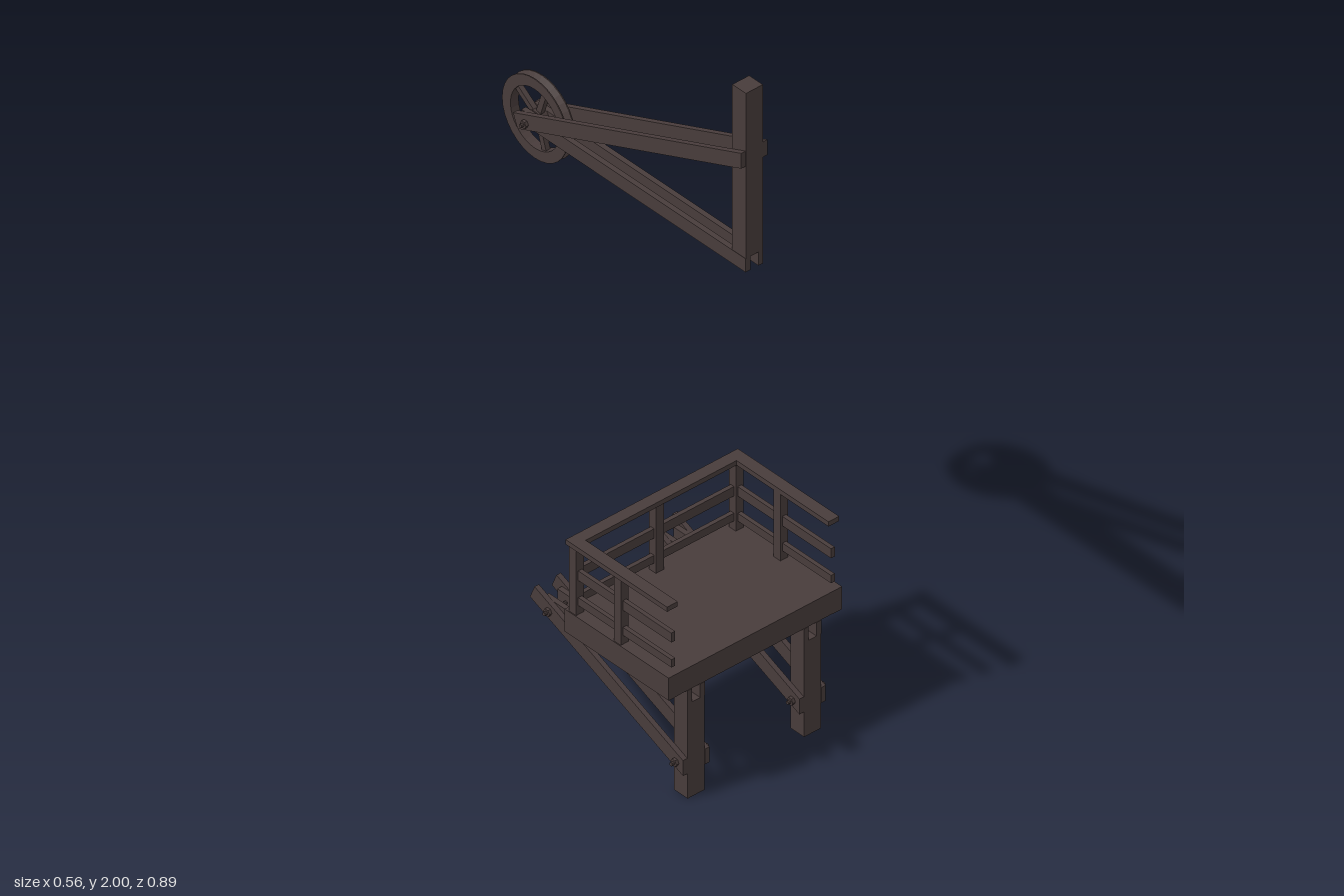
import * as THREE from 'three';

const wood = new THREE.MeshStandardMaterial({ color: 0x483c3b });
wood.name = 'dark weathered wood';

function add(group, name, geometry) {
  const mesh = new THREE.Mesh(geometry, wood);
  mesh.name = name;
  group.add(mesh);
  return mesh;
}

// Box given by its extents on each axis
function box(group, name, x0, x1, y0, y1, z0, z1) {
  const mesh = add(group, name, new THREE.BoxGeometry(x1 - x0, y1 - y0, z1 - z0));
  mesh.position.set((x0 + x1) / 2, (y0 + y1) / 2, (z0 + z1) / 2);
  return mesh;
}

// Cylinder lying along x
function rod(group, name, x, y, z, radius, length, sides) {
  const geometry = new THREE.CylinderGeometry(radius, radius, length, sides).toNonIndexed();
  geometry.rotateZ(Math.PI / 2);
  geometry.computeVertexNormals();
  const mesh = add(group, name, geometry);
  mesh.position.set(x, y, z);
}

// Slanted plank: plumb cut at the wall end, square cut at the free end
function brace(group, name, x0, x1, wall, end, width) {
  const dz = end[0] - wall[0], dy = end[1] - wall[1], len = Math.hypot(dz, dy);
  const nz = -dy / len * width / 2, ny = dz / len * width / 2;
  const plumb = width / 2 * len / Math.abs(dz);
  const points = [
    [wall[0], wall[1] - plumb], [end[0] + nz, end[1] + ny],
    [end[0] - nz, end[1] - ny], [wall[0], wall[1] + plumb],
  ].map(([z, y]) => new THREE.Vector2(-z, y));
  const geometry = new THREE.ExtrudeGeometry(new THREE.Shape(points), { depth: x1 - x0, bevelEnabled: false });
  geometry.rotateY(Math.PI / 2);
  add(group, name, geometry).position.x = x0;
}

// Through bolt with a nut on each side
function bolt(group, x, y, z) {
  rod(group, 'bolt', x, y, z, 0.005, 0.118, 8);
  for (const s of [-1, 1]) rod(group, 'nut', x + s * 0.046, y, z, 0.011, 0.009, 6);
}

// Post, paired arms and paired outer braces
function bracket(name, x, post, armY, armEnd, wall, end) {
  const g = new THREE.Group();
  g.name = name;
  box(g, 'post', x - 0.027, x + 0.027, post[0], post[1], 0.396, 0.445);
  for (const s of [-1, 1]) {
    const a = x + s * 0.0205, b = x + s * 0.035;
    box(g, 'arm', a - 0.0075, a + 0.0075, armY[0], armY[1], armEnd, 0.445);
    brace(g, 'brace', b - 0.007, b + 0.007, wall, end, 0.042);
  }
  return g;
}

// Grooved pulley wheel with five spokes
function pulley() {
  const g = new THREE.Group();
  g.name = 'pulleyWheel';
  const profile = [[0.087, -0.013], [0.117, -0.013], [0.117, -0.01], [0.1, 0],
    [0.117, 0.01], [0.117, 0.013], [0.087, 0.013], [0.087, -0.013]];
  const rim = new THREE.LatheGeometry(profile.map(p => new THREE.Vector2(...p)), 32).toNonIndexed();
  rim.rotateZ(Math.PI / 2);
  rim.computeVertexNormals();
  add(g, 'rim', rim);
  rod(g, 'hub', 0, 0, 0, 0.022, 0.026, 16);
  for (let i = 0; i < 5; i++) {
    const spoke = new THREE.BoxGeometry(0.014, 0.016, 0.08);
    spoke.translate(0, 0, 0.052);
    spoke.rotateX(i * Math.PI * 2 / 5);
    add(g, 'spoke', spoke);
  }
  return g;
}

function platform() {
  const g = new THREE.Group();
  g.name = 'platform';
  // Deck on a hollow frame
  box(g, 'deck', -0.274, 0.28, 0.372, 0.387, 0.072, 0.445);
  box(g, 'rightFrameBoard', -0.274, -0.244, 0.32, 0.372, 0.072, 0.445);
  box(g, 'leftFrameBoard', 0.25, 0.28, 0.32, 0.372, 0.072, 0.445);
  box(g, 'backFrameBoard', -0.244, 0.25, 0.32, 0.372, 0.072, 0.102);
  box(g, 'frontFrameBoard', -0.244, 0.25, 0.32, 0.372, 0.415, 0.444);
  return g;
}

function railing() {
  const g = new THREE.Group();
  g.name = 'railing';
  const rows = [[0.414, 0.437], [0.488, 0.516]];
  // Posts on the corners and mid spans
  for (const [x, z] of [[-0.255, 0.098], [0, 0.098], [0.255, 0.098], [-0.255, 0.258], [0.255, 0.258]])
    box(g, 'railPost', x - 0.0125, x + 0.0125, 0.387, 0.588, z - 0.0125, z + 0.0125);
  // Back boards and side boards
  for (const [y0, y1] of rows) {
    box(g, 'backRail', -0.249, 0.249, y0, y1, 0.092, 0.104);
    for (const s of [-1, 1]) box(g, 'sideRail', s * 0.255 - 0.006, s * 0.255 + 0.006, y0, y1, 0.1, 0.445);
  }
  // Flat cap rail
  box(g, 'backCap', -0.275, 0.275, 0.586, 0.6, 0.081, 0.115);
  for (const s of [-1, 1]) box(g, 'sideCap', s * 0.258 - 0.017, s * 0.258 + 0.017, 0.586, 0.6, 0.115, 0.445);
  g.position.x = -0.004;
  return g;
}

export function createModel() {
  const model = new THREE.Group();
  model.name = 'hoistAndBalcony';

  // Hoist arm with its pulley
  const hoist = bracket('hoist', 0, [1.51, 2], [1.47, 1.51], -0.36, [0.445, 1.807], [-0.366, 1.48]);
  const wheel = pulley();
  wheel.position.set(0, 1.492, -0.329);
  hoist.add(wheel);
  bolt(hoist, 0, 1.492, -0.329);
  model.add(hoist);

  // Two supports under the balcony
  for (const s of [-1, 1]) {
    const support = bracket(s > 0 ? 'leftSupport' : 'rightSupport', s * 0.186,
      [0, 0.28], [0.28, 0.32], -0.068, [0.445, 0.097], [-0.096, 0.323]);
    bolt(support, s * 0.186, 0.297, -0.036);
    bolt(support, s * 0.186, 0.103, 0.42);
    model.add(support);
  }

  model.add(platform(), railing());
  return model;
}
